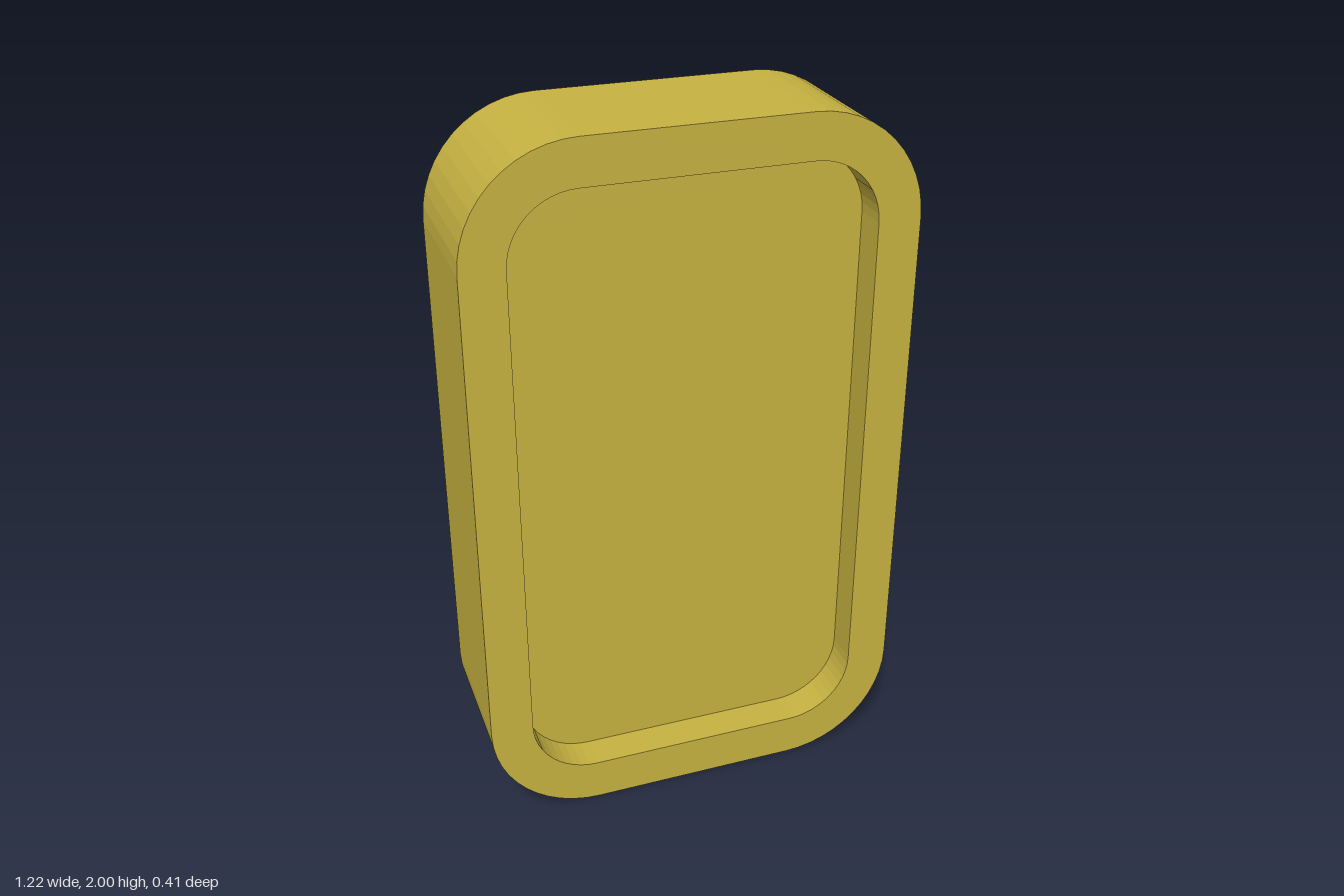
import * as THREE from 'three';

const HALF_DEPTH = 0.205;

// Rounded rectangle centred on x = 0, y = 1
function roundedRect(path, halfW, halfH, r) {
  const x = halfW - r, y = halfH - r, q = Math.PI / 2;
  [[x, y], [-x, y], [-x, -y], [x, -y]].forEach(([cx, cy], i) =>
    path.absarc(cx, 1 + cy, r, i * q, (i + 1) * q, false));
  path.closePath();
  return path;
}

// Symmetrical heart outline around the origin
function heartShape() {
  const half = [[0.05, 0.245], [0.12, 0.262], [0.2, 0.245], [0.28, 0.185], [0.33, 0.1], [0.345, 0.025],
    [0.32, -0.075], [0.27, -0.15], [0.17, -0.235], [0.06, -0.31]];
  const right = half.map(([x, y]) => new THREE.Vector2(x, y));
  const left = half.map(([x, y]) => new THREE.Vector2(-x, y)).reverse();
  const shape = new THREE.Shape();
  shape.moveTo(0, 0.21);
  shape.splineThru([...right, new THREE.Vector2(0, -0.325), ...left, new THREE.Vector2(0, 0.21)]);
  return shape;
}

export function createModel() {
  const gold = new THREE.MeshStandardMaterial({ color: 0xc6b241 });
  gold.name = 'gold';
  const red = new THREE.MeshStandardMaterial({ color: 0xdf2424 });
  red.name = 'red';

  const group = new THREE.Group();
  group.name = 'heartTablet';
  const add = (name, geometry, material) => {
    const mesh = new THREE.Mesh(geometry, material);
    mesh.name = name;
    group.add(mesh);
    return mesh;
  };

  // Thick outer frame with an opening
  const frame = roundedRect(new THREE.Shape(), 0.61, 1, 0.31);
  frame.holes.push(roundedRect(new THREE.Path(), 0.49, 0.875, 0.185));
  const frameGeo = new THREE.ExtrudeGeometry(frame, { depth: 2 * HALF_DEPTH, bevelEnabled: false, curveSegments: 6 });
  add('frame', frameGeo.translate(0, 0, -HALF_DEPTH), gold);

  // Recessed faces inside the frame
  const panel = roundedRect(new THREE.Shape(), 0.49, 0.875, 0.185);
  add('frontPanel', new THREE.ShapeGeometry(panel, 6).translate(0, 0, 0.105), gold);
  add('backPanel', new THREE.ShapeGeometry(panel, 6).rotateY(Math.PI).translate(0, 0, -0.127), gold);

  // Painted heart on the back panel
  add('heart', new THREE.ShapeGeometry(heartShape(), 5).rotateY(Math.PI).translate(0.03, 1, -0.13), red);

  return group;
}
